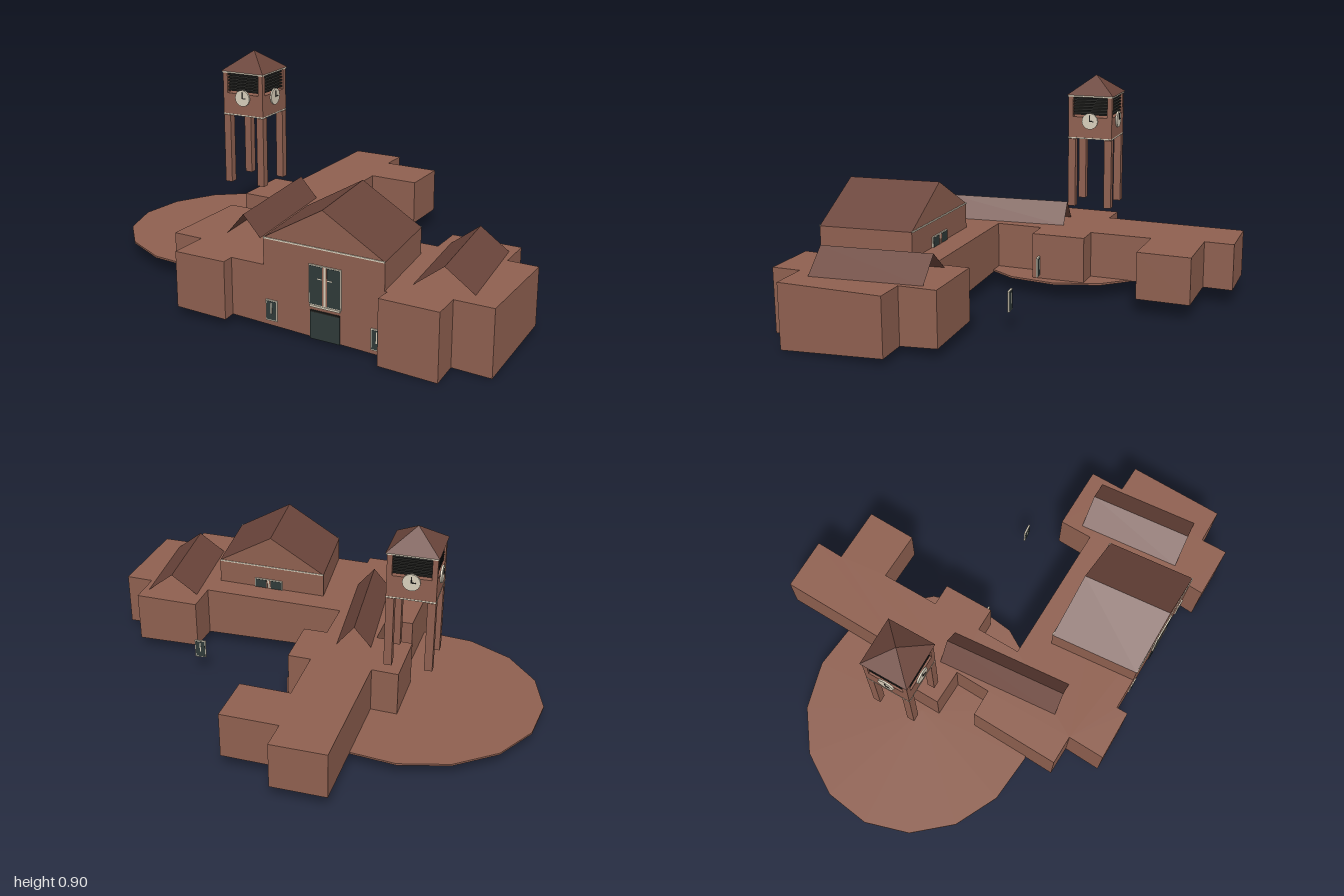
import * as THREE from 'three';

const mat = (name, color, side = THREE.FrontSide) =>
  Object.assign(new THREE.MeshStandardMaterial({ color, side }), { name });
const brick = mat('brick', 0x8f6050, THREE.DoubleSide);
const roofMat = mat('roof tile', 0x6b453b, THREE.DoubleSide);
const glass = mat('dark glass', 0x2f3a39);
const trim = mat('cream trim', 0xd9d0bc);
const black = mat('charcoal', 0x222220);

const SLANT = -0.108; // the halls sit slightly turned on the site
const TOP = 0.27;     // flat roof height

function mesh(name, geo, material, parent, x = 0, y = 0, z = 0) {
  const m = new THREE.Mesh(geo, material);
  m.name = name;
  m.position.set(x, y, z);
  parent.add(m);
  return m;
}
const box = (name, w, h, d, material, parent, x, y, z) =>
  mesh(name, new THREE.BoxGeometry(w, h, d), material, parent, x, y, z);
function group(name, parent, x = 0, y = 0, z = 0, turn = 0) {
  const g = new THREE.Group();
  g.name = name;
  g.position.set(x, y, z);
  g.rotation.y = turn;
  parent.add(g);
  return g;
}

// flat-shaded surface from convex faces, each a list of [x, y, z] corners
function faces(list) {
  const pos = [];
  for (const f of list)
    for (let i = 1; i < f.length - 1; i++) pos.push(...f[0], ...f[i], ...f[i + 1]);
  const g = new THREE.BufferGeometry();
  g.setAttribute('position', new THREE.Float32BufferAttribute(pos, 3));
  g.computeVertexNormals();
  return g;
}

// sloping ground under the walls
const ground = (x, z) =>
  Math.min(0.07, Math.max(0, 0.03 - 0.026 * (x + 0.11) - 0.065 * (z - 0.75)));

// footprint, clockwise from above as [x, z]
const OUTLINE = [
  [-0.215, -0.865], [0.02, -0.845], [0.005, -0.72], [0.255, -0.695], [0.23, -0.47],
  [0.01, -0.495], [-0.015, -0.23], [0.085, -0.22], [0.065, 0.01], [-0.04, 0],
  [-0.06, 0.2], [0.585, 0.268], [0.6, 0.12], [0.89, 0.15], [0.875, 0.305],
  [1, 0.32], [0.95, 0.755], [0.795, 0.74], [0.785, 0.86], [0.55, 0.835],
  [0.56, 0.769], [-0.105, 0.698], [-0.11, 0.75], [-0.335, 0.73], [-0.315, 0.565],
  [-0.445, 0.55], [-0.4, 0.15], [-0.28, 0.16], [-0.262, 0], [-0.42, -0.018],
  [-0.395, -0.275], [-0.28, -0.26],
];

function addBuilding(parent) {
  const g = group('building', parent);
  mesh('walls', faces(OUTLINE.map(([ax, az], i) => {
    const [bx, bz] = OUTLINE[(i + 1) % OUTLINE.length];
    return [[ax, ground(ax, az), az], [ax, TOP, az], [bx, TOP, bz], [bx, ground(bx, bz), bz]];
  })), brick, g);
  const shape = new THREE.Shape(OUTLINE.map(([x, z]) => new THREE.Vector2(x, -z)));
  mesh('flatRoof', new THREE.ShapeGeometry(shape).rotateX(-Math.PI / 2), brick, g, 0, TOP, 0);
}

// two roof slopes meeting at a ridge along z; zs(x) gives [back, front]
function slopes(name, x0, x1, y0, y1, zs, parent) {
  const xm = (x0 + x1) / 2;
  const p = (x, y, end) => [x, y, zs(x)[end]];
  mesh(name, faces([
    [p(x0, y0, 1), p(xm, y1, 1), p(xm, y1, 0), p(x0, y0, 0)],
    [p(xm, y1, 1), p(x1, y0, 1), p(x1, y0, 0), p(xm, y1, 0)],
  ]), roofMat, parent);
}

const hallFront = (x) => 0.709 + 0.108 * x;
const hallBack = (x) => hallFront(x) - 0.395;

// tall gabled hall rising out of the flat roof
function addHall(parent) {
  const g = group('hall', parent);
  const x0 = 0.04, x1 = 0.55, xm = 0.295, eave = 0.38, peak = 0.53;
  const profile = [[x0, TOP], [x1, TOP], [x1, eave], [xm, peak], [x0, eave]];
  const F = profile.map(([x, y]) => [x, y, hallFront(x)]);
  const B = profile.map(([x, y]) => [x, y, hallBack(x)]);
  mesh('hallWalls', faces([
    F, [...B].reverse(),
    [F[1], B[1], B[2], F[2]], [B[0], F[0], F[4], B[4]],
  ]), brick, g);
  slopes('hallRoof', x0, x1, eave, peak, (x) => [hallBack(x), hallFront(x)], g);
  for (const at of [hallFront, hallBack])
    box('gableTrim', 0.51, 0.006, 0.006, trim, g, xm, eave, at(xm)).rotation.y = SLANT;
}

// small window: cream frame with dark panes, both sides
function addSmallWindow(parent, x, y, z, turn = 0) {
  const g = group('smallWindow', parent, x, y, z, turn);
  box('frame', 0.05, 0.085, 0.007, trim, g, 0, 0, 0);
  box('pane', 0.042, 0.076, 0.009, glass, g, 0, 0, 0);
  box('mullion', 0.005, 0.045, 0.011, trim, g, 0, 0.01, 0);
}

// tall double window with a brick centre post
function addTallWindow(parent, x, z) {
  const g = group('tallWindow', parent, x, 0.235, z, SLANT);
  box('frame', 0.136, 0.16, 0.007, trim, g, 0, 0, 0);
  for (const s of [-1, 1]) {
    box('pane', 0.054, 0.152, 0.009, glass, g, s * 0.038, 0, 0);
    box('glazingBar', 0.02, 0.004, 0.011, trim, g, s * 0.022, 0.028, 0);
    box('post', 0.006, 0.152, 0.01, brick, g, s * 0.007, 0, 0);
  }
}

function addOpenings(parent) {
  const g = group('openings', parent);
  const x = 0.308;
  addTallWindow(g, x, hallFront(x) + 0.002);
  addTallWindow(g, x, hallBack(x) - 0.002);
  const door = group('entrance', g, x, 0, hallFront(x) + 0.001, SLANT);
  box('door', 0.125, 0.115, 0.009, glass, door, 0, 0.075, 0);
  box('lintel', 0.128, 0.008, 0.014, trim, door, 0, 0.151, 0);
  box('doorHead', 0.125, 0.006, 0.012, black, door, 0, 0.13, 0);
  addSmallWindow(g, 0.075, 0.09, hallFront(0.075) + 0.001, SLANT);
  addSmallWindow(g, 0.523, 0.073, hallFront(0.523) + 0.001, SLANT);
  addSmallWindow(g, 0.085, 0.13, -0.02);
  addSmallWindow(g, 0.538, 0.13, -0.025);
}

function addClock(parent, half) {
  mesh('clockFace', new THREE.CylinderGeometry(0.037, 0.037, 0.008, 16).rotateX(Math.PI / 2),
    trim, parent, 0, 0.7, half + 0.003);
  box('minuteHand', 0.004, 0.028, 0.003, black, parent, 0, 0.713, half + 0.008);
  box('hourHand', 0.02, 0.004, 0.003, black, parent, 0.009, 0.7, half + 0.008);
}

function addTower(parent) {
  const g = group('clockTower', parent, -0.437, 0, -0.16, -0.075);
  const half = 0.102;
  for (const sx of [-1, 1]) for (const sz of [-1, 1]) {
    box('leg', 0.034, 0.315, 0.034, brick, g, sx * 0.085, 0.4575, sz * 0.085);
    box('cornerPost', 0.022, 0.1, 0.022, brick, g, sx * 0.091, 0.765, sz * 0.091);
  }
  box('baseTrim', 0.206, 0.006, 0.206, trim, g, 0, 0.62, 0);
  box('clockStage', 0.204, 0.095, 0.204, brick, g, 0, 0.67, 0);
  // stacked louvres between the corner posts
  for (let i = 0; i < 6; i++)
    box('louvre', 0.19, 0.007, 0.19, black, g, 0, 0.73 + i * 0.014, 0);
  box('topTrim', 0.21, 0.007, 0.21, trim, g, 0, 0.812, 0);
  mesh('towerRoof', new THREE.ConeGeometry(0.108 * Math.SQRT2, 0.084, 4).toNonIndexed()
    .rotateY(Math.PI / 4), roofMat, g, 0, 0.858, 0).geometry.computeVertexNormals();
  for (let i = 0; i < 4; i++) addClock(group('clock', g, 0, 0, 0, i * Math.PI / 2), half);
}

export function createModel() {
  const model = new THREE.Group();
  model.name = 'stationWithClockTower';

  // paved round plaza with a dark underside
  const plaza = mesh('plaza', new THREE.CylinderGeometry(1, 1, 0.008, 16),
    [brick, brick, black], model, -0.44, 0.069, -0.095);
  plaza.scale.set(0.56, 1, 0.515);

  addBuilding(model);
  addHall(model);
  slopes('westSkylight', -0.25, -0.1, TOP, 0.36, () => [-0.088, 0.467], model);
  slopes('eastSkylight', 0.622, 0.857, TOP, 0.36, () => [0.213, 0.675], model);
  addOpenings(model);
  addTower(model);
  return model;
}
